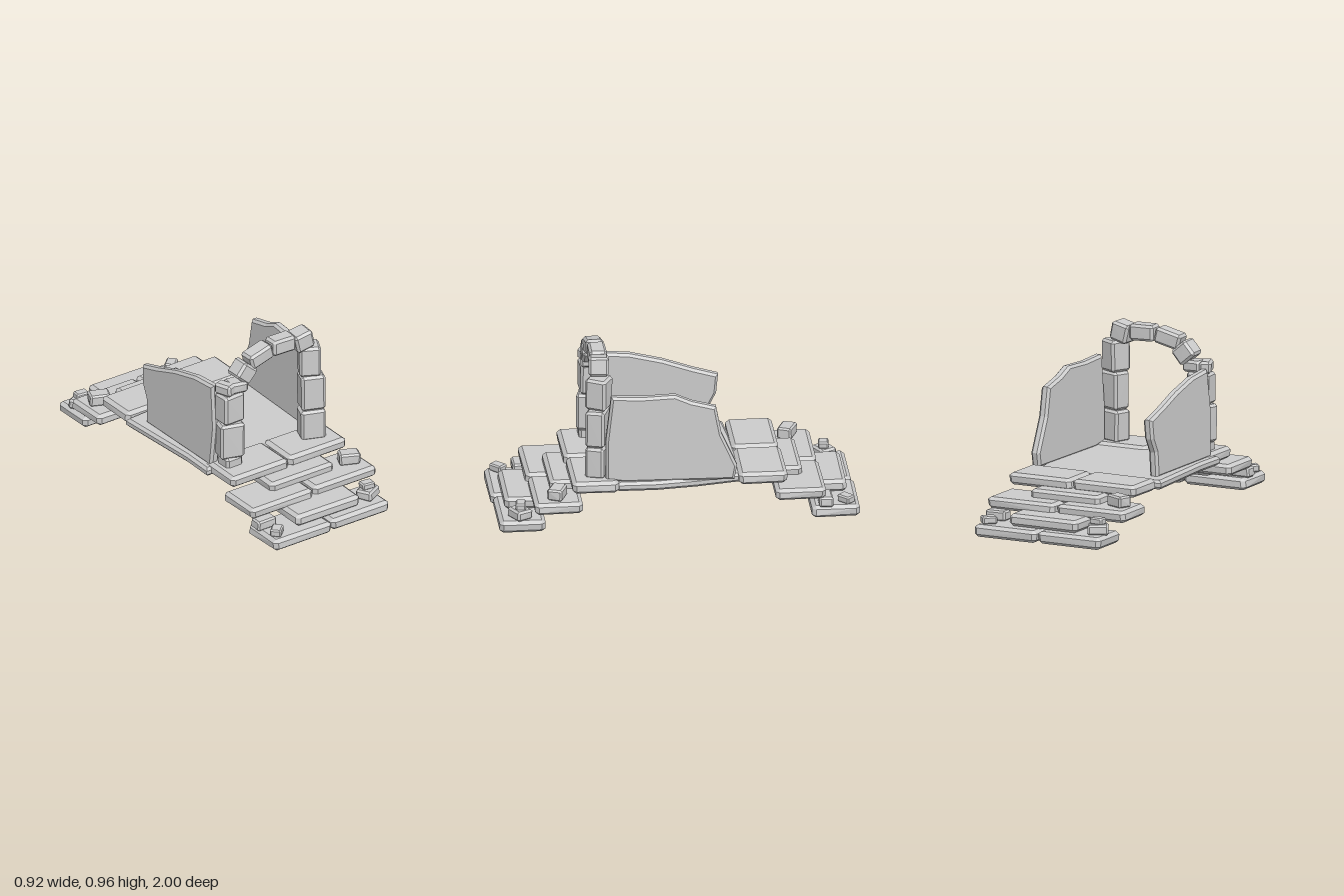
import * as THREE from 'three';
import { ConvexGeometry } from 'three/addons/geometries/ConvexGeometry.js';

const stoneGrey = new THREE.MeshStandardMaterial({ color: 0xcccccc });
stoneGrey.name = 'stoneGrey';

// Small seeded generator for the rough-hewn corners
let seed = 7;
const rand = () => (seed = (seed * 16807) % 2147483647) / 2147483647;

// Rough block: chamfered box whose corners are nudged inward
function stone(name, [w, h, d], [x, y, z], { chamfer = 0.018, rotY = 0, rotZ = 0, rough = 0.035 } = {}) {
  const half = [w / 2, h / 2, d / 2];
  const c = half.map((v) => Math.min(chamfer, v * 0.5));
  const points = [];
  for (const sx of [-1, 1]) for (const sy of [-1, 1]) for (const sz of [-1, 1]) {
    const signs = [sx, sy, sz];
    const pull = half.map((v) => 1 - rand() * rough * 2);
    for (let full = 0; full < 3; full++) {
      const p = half.map((v, i) => signs[i] * (i === full ? v : v - c[i]) * pull[i] * (1 - rand() * rough * 0.4));
      points.push(new THREE.Vector3(...p));
    }
  }
  const mesh = new THREE.Mesh(new ConvexGeometry(points), stoneGrey);
  mesh.name = name;
  mesh.position.set(x, y, z);
  mesh.rotation.set(0, rotY, rotZ);
  return mesh;
}

// Block given by its extents on each axis
function block(name, [x0, x1], [y0, y1], [z0, z1], options) {
  return stone(name, [x1 - x0, y1 - y0, z1 - z0], [(x0 + x1) / 2, (y0 + y1) / 2, (z0 + z1) / 2], options);
}

// Flat bevelled plate from an outline, centred on its thickness
function plate(name, outline, thickness, bevel) {
  const shape = new THREE.Shape(outline.map(([a, b]) => new THREE.Vector2(a, b)));
  const geometry = new THREE.ExtrudeGeometry(shape, {
    depth: thickness - 2 * bevel, bevelEnabled: true, bevelSegments: 1,
    bevelThickness: bevel, bevelSize: bevel, bevelOffset: -bevel,
  });
  geometry.translate(0, 0, bevel - thickness / 2);
  const mesh = new THREE.Mesh(geometry, stoneGrey);
  mesh.name = name;
  return mesh;
}

// One flight of slabs descending towards +z
function stairs(name) {
  const g = new THREE.Group();
  g.name = name;
  const slab = { chamfer: 0.022, rough: 0.018 };

  // Paired wide slabs: x split, heights, depth range
  const rows = [
    [-0.375, 0.018, 0.415, [0, 0.07], [0.73, 1.0]],
    [-0.395, 0.03, 0.465, [0.12, 0.187], [0.53, 0.81]],
    [-0.375, 0.018, 0.415, [0.215, 0.284], [0.33, 0.6]],
  ];
  for (const [left, split, right, y, z] of rows) {
    g.add(block('stairSlab', [left, split], y, z, slab));
    g.add(block('stairSlab', [split, right], y, [z[0], z[1] - 0.01], slab));
  }
  // Single slabs between the rows
  g.add(block('middleSlab', [-0.185, 0.25], [0.07, 0.14], [0.68, 0.945], slab));
  g.add(block('middleSlab', [-0.185, 0.25], [0.168, 0.232], [0.43, 0.7], slab));

  // Loose rubble
  g.add(stone('rubble', [0.12, 0.068, 0.085], [0.36, 0.217, 0.668], { rotY: -0.4, chamfer: 0.01 }));
  g.add(stone('rubble', [0.12, 0.06, 0.1], [0.34, 0.095, 0.87], { rotY: 0.5, chamfer: 0.012 }));
  g.add(stone('rubble', [0.08, 0.04, 0.06], [0.338, 0.14, 0.865], { rotY: -0.1, chamfer: 0.008 }));
  g.add(stone('rubble', [0.085, 0.045, 0.065], [-0.31, 0.09, 0.925], { rotY: 0.75, chamfer: 0.008 }));
  g.add(block('rubble', [-0.38, -0.25], [0.065, 0.125], [0.77, 0.85], { chamfer: 0.01 }));
  return g;
}

function archway() {
  const g = new THREE.Group();
  g.name = 'archway';
  // Name, size, position, yaw, roll
  const stones = [
    ['leftPillarStone', [0.11, 0.08, 0.1], [-0.275, 0.3, 0.44], 0, 0],
    ['leftPillarStone', [0.145, 0.215, 0.11], [-0.275, 0.437, 0.435], -0.25, -0.01],
    ['leftPillarStone', [0.14, 0.18, 0.11], [-0.27, 0.632, 0.43], 0.04, 0],
    ['leftCapStone', [0.07, 0.07, 0.11], [-0.302, 0.752, 0.43], 0.35, 0],
    ['leftCapStone', [0.12, 0.068, 0.1], [-0.232, 0.75, 0.43], -0.12, -0.04],
    ['archStone', [0.117, 0.105, 0.11], [-0.183, 0.822, 0.425], 0, -0.72],
    ['archStone', [0.16, 0.092, 0.1], [-0.08, 0.89, 0.425], 0.05, 0.25],
    ['keystone', [0.155, 0.092, 0.1], [0.077, 0.907, 0.42], 0, -0.02],
    ['archStone', [0.115, 0.11, 0.115], [0.21, 0.896, 0.425], -0.1, 0.22],
    ['rightPillarStone', [0.125, 0.182, 0.125], [0.262, 0.76, 0.43], -0.48, 0],
    ['rightPillarStone', [0.14, 0.217, 0.11], [0.273, 0.562, 0.438], -0.35, 0],
    ['rightPillarStone', [0.145, 0.185, 0.11], [0.272, 0.364, 0.44], -0.35, 0],
  ];
  for (const [name, size, position, rotY, rotZ] of stones) {
    g.add(stone(name, size, position, { rotY, rotZ, chamfer: 0.014, rough: 0.025 }));
  }
  return g;
}

export function createModel() {
  seed = 7;
  const model = new THREE.Group();
  model.name = 'ruinedStoneBridge';

  // Deck between the two flights
  const deck = plate('deck', [
    [-0.43, -0.32], [-0.2, -0.34], [0.32, -0.36], [0.37, -0.1],
    [0.395, 0.12], [0.39, 0.33], [0.33, 0.4], [-0.405, 0.4], [-0.4, 0.2],
  ], 0.052, 0.015);
  deck.geometry.rotateX(Math.PI / 2);
  deck.position.y = 0.241;
  model.add(deck);

  // Broken side walls, outlines in (z, y)
  const rightWall = plate('rightWall', [
    [0.3, 0.258], [0.4, 0.275], [0.4, 0.5], [0.37, 0.765], [0.2, 0.757], [0.02, 0.765],
    [-0.07, 0.725], [-0.205, 0.69], [-0.235, 0.53], [-0.32, 0.34], [-0.305, 0.258],
  ], 0.055, 0.014);
  const leftWall = plate('leftWall', [
    [0.38, 0.258], [0.4, 0.5], [0.37, 0.75], [0.2, 0.735], [0.02, 0.69],
    [-0.15, 0.63], [-0.285, 0.59], [-0.275, 0.48], [-0.235, 0.4], [-0.23, 0.258],
  ], 0.055, 0.014);
  for (const wall of [rightWall, leftWall]) wall.geometry.rotateY(-Math.PI / 2);
  rightWall.position.x = 0.348;
  rightWall.rotation.y = -0.03;
  leftWall.position.x = -0.345;
  leftWall.rotation.z = -0.035;
  model.add(rightWall, leftWall);

  // Back flight is the front one turned half round
  const frontStairs = stairs('frontStairs');
  const backStairs = frontStairs.clone();
  backStairs.name = 'backStairs';
  backStairs.rotation.y = Math.PI;
  model.add(frontStairs, backStairs, archway());
  return model;
}
